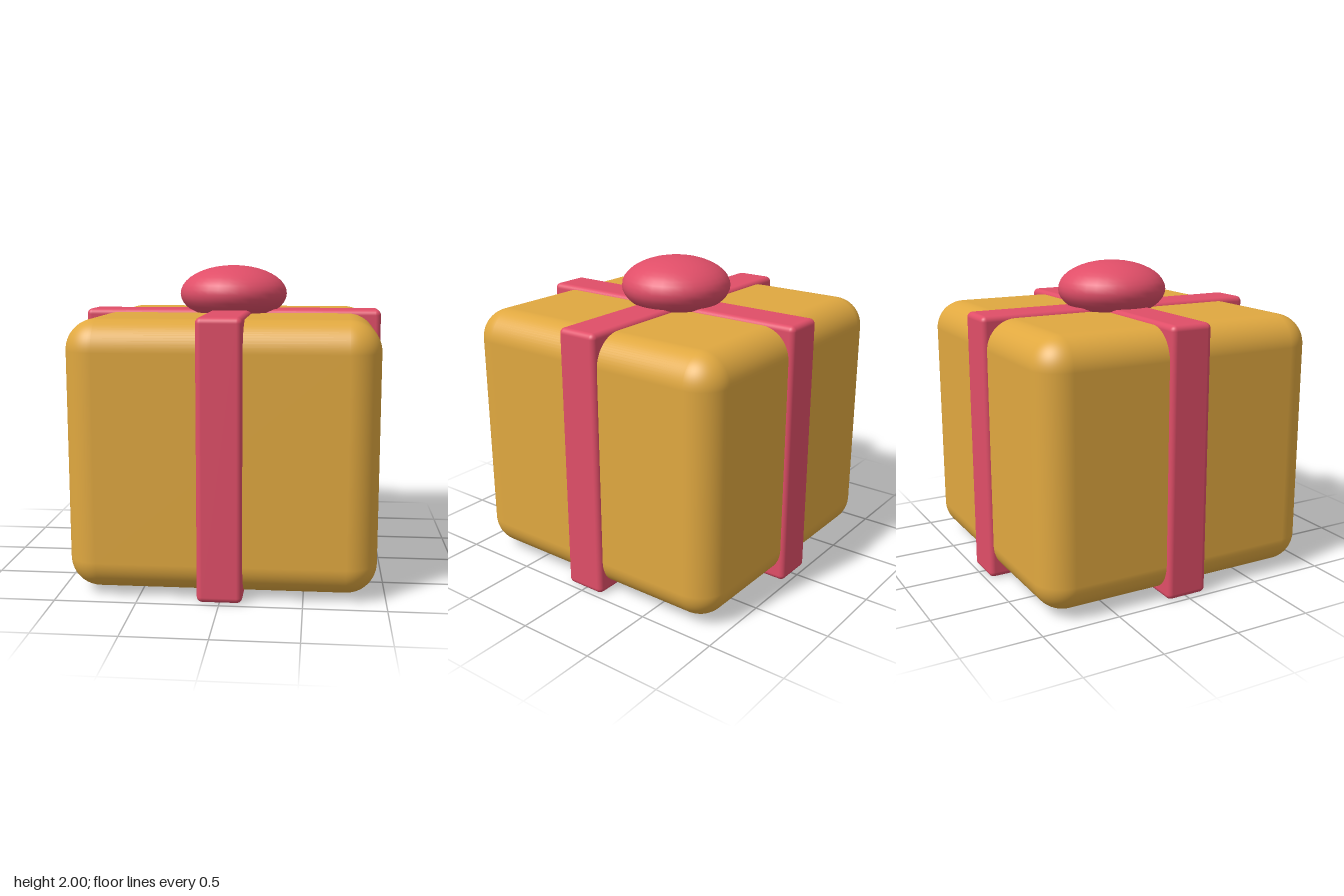
import * as THREE from 'three';
import { RoundedBoxGeometry } from 'three/addons/geometries/RoundedBoxGeometry.js';

export function createModel() {
  const group = new THREE.Group();
  const wrapMat = new THREE.MeshStandardMaterial({ color: 0xe0a840 });
  wrapMat.name = 'goldenWrap';
  const ribbonMat = new THREE.MeshStandardMaterial({ color: 0xe04e68 });
  ribbonMat.name = 'pinkRibbon';

  const add = (name, geometry, material, y) => {
    const mesh = new THREE.Mesh(geometry, material);
    mesh.name = name;
    mesh.position.y = y;
    group.add(mesh);
    return mesh;
  };

  // Soft-cornered gift box
  add('box', new RoundedBoxGeometry(1.89, 1.66, 1.89, 8, 0.19), wrapMat, 0.862);

  // Two crossing ribbon bands wrapped all the way around
  const band = new RoundedBoxGeometry(1.945, 1.712, 0.276, 4, 0.035);
  add('sideRibbon', band, ribbonMat, 0.858);
  add('frontRibbon', band, ribbonMat, 0.858).rotation.y = Math.PI / 2;

  // Flattened round bow on top
  const bow = new THREE.SphereGeometry(0.355, 32, 20);
  bow.scale(1, 0.185 / 0.355, 1);
  add('bow', bow, ribbonMat, 1.815);

  return group;
}
